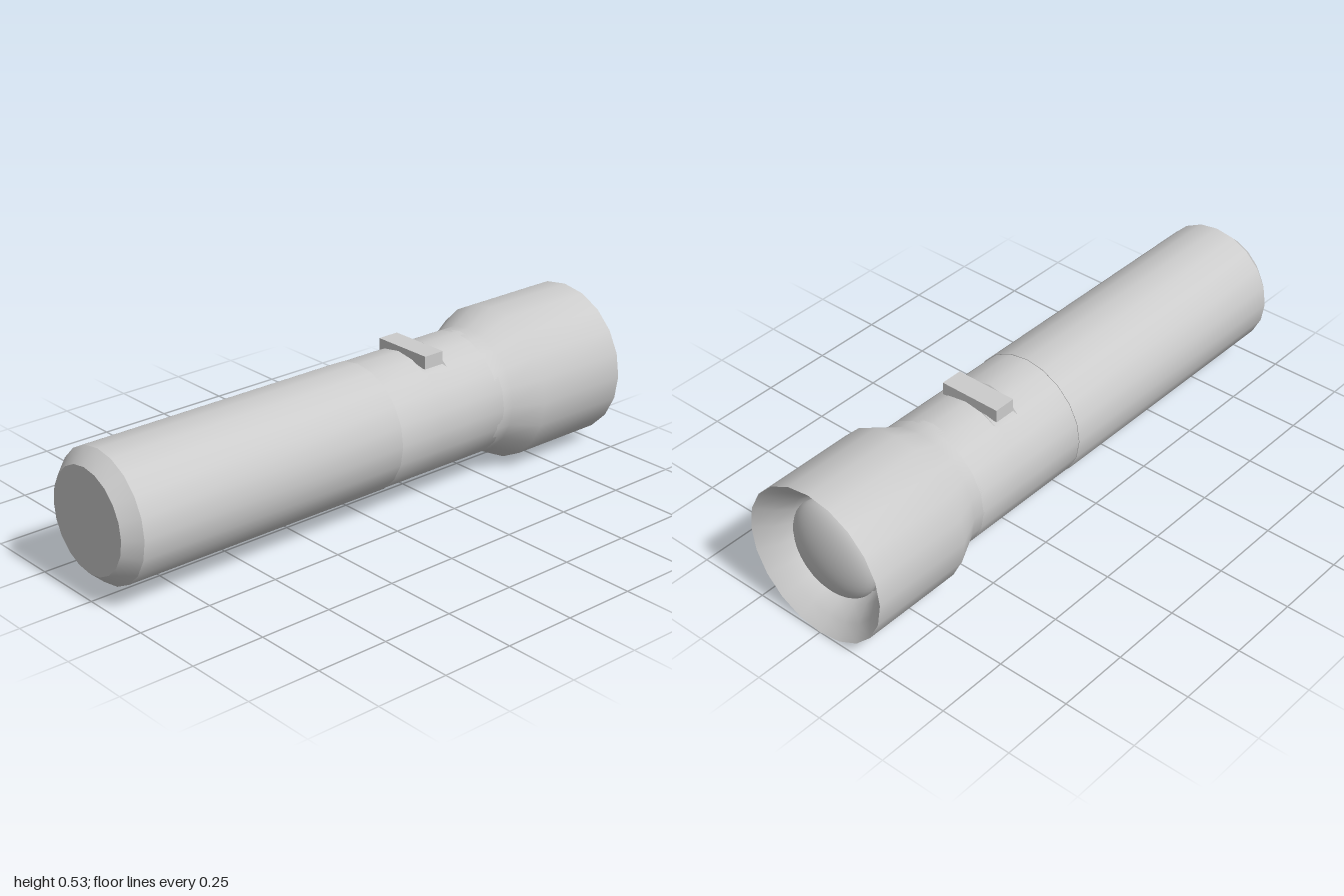
import * as THREE from 'three';
import { toCreasedNormals } from 'three/addons/utils/BufferGeometryUtils.js';

const AXIS_Y = 0.267;
const SIDES = 20;

// Revolve [x, radius] points around the long axis, which lies along x
function turned(points, sides = SIDES) {
  const profile = points.map(([x, r]) => new THREE.Vector2(r, x));
  return new THREE.LatheGeometry(profile, sides)
    .rotateZ(-Math.PI / 2)
    .translate(0, AXIS_Y, 0);
}

export function createModel() {
  const group = new THREE.Group();
  const material = new THREE.MeshStandardMaterial({ color: 0xcccccc });
  const add = (name, geometry) => {
    const mesh = new THREE.Mesh(geometry, material);
    mesh.name = name;
    group.add(mesh);
    return mesh;
  };

  // Handle tube with chamfered tail, closed by a small step at the neck
  add('handle', toCreasedNormals(turned([
    [-1, 0], [-1, 0.173], [-0.95, 0.218], [0.05, 0.218], [0.05, 0.1],
  ]), 0.65));

  // Neck sleeve, with a flat-bottomed notch cut across its top for the switch
  const notchY = 0.455;
  const neck = turned([
    [0.04, 0.1], [0.04, 0.216], [0.225, 0.216], [0.24, 0.216],
    [0.32, 0.216], [0.335, 0.216], [0.5, 0.216],
  ]);
  const p = neck.attributes.position;
  for (let i = 0; i < p.count; i++) {
    const x = p.getX(i);
    if (x > 0.235 && x < 0.325) p.setY(i, Math.min(p.getY(i), notchY));
  }
  add('neck', toCreasedNormals(neck, 0.65));

  // Flared head, sharp rim and reflector bowl
  add('head', toCreasedNormals(turned([
    [0.48, 0.216], [0.54, 0.216], [0.64, 0.266], [1, 0.266],
    [0.96, 0.222], [0.91, 0.188], [0.86, 0.17], [0.86, 0],
  ]), 0.65));

  // Domed lens sitting in the bowl
  const lens = add('lens', new THREE.SphereGeometry(0.166, 32, 20));
  lens.scale.x = 0.4;
  lens.position.set(0.91, 0.273, 0);

  // Slide switch in the notch
  const slide = add('switch', new THREE.BoxGeometry(0.077, 0.044, 0.22));
  slide.position.set(0.279, 0.47, 0);

  return group;
}
